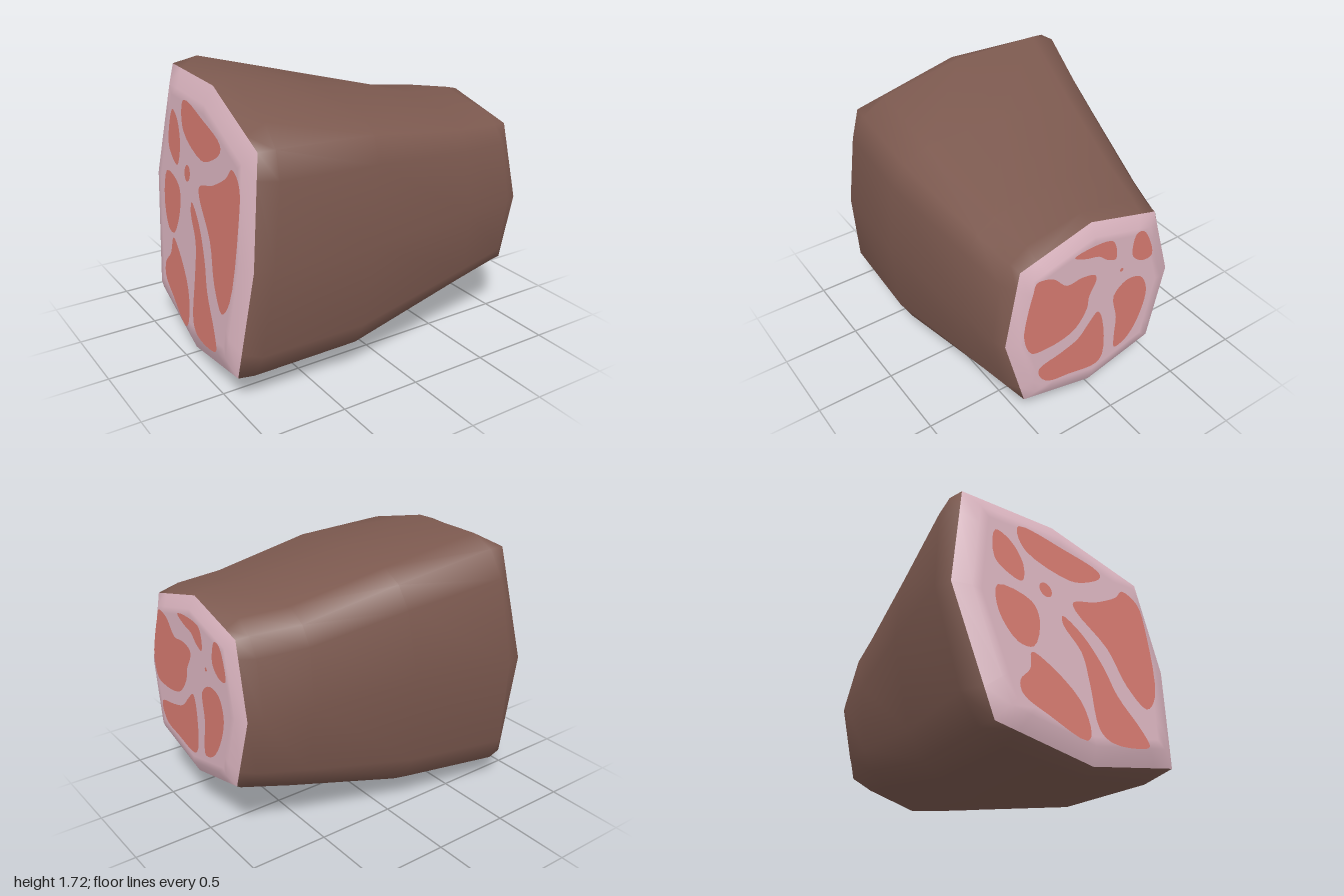
import * as THREE from 'three';

const rindBrown = new THREE.MeshStandardMaterial({ color: 0x7c594f });
const fatPink = new THREE.MeshStandardMaterial({ color: 0xd9b3be });
const meatRed = new THREE.MeshStandardMaterial({ color: 0xd4796f });

// A section lies in the plane x = a + b*y + c*z. Its points are [y, z] in the order
// top, top front, front, bottom front, bottom, bottom back, back, top back.
const section = (plane, bump, pts) => ({ plane, bump, pts });
const planeX = ([a, b, c], y, z) => a + b * y + c * z;

const leftRim = section([-0.947, 0.124, -0.08], 0,
  [[1.67, 0], [1.47, 0.65], [0.84, 0.73], [0.18, 0.65], [0.06, 0.03], [0.18, -0.6], [0.97, -0.8], [1.66, -0.67]]);
const rightRim = section([0.974, -0.044, 0], 0,
  [[1.46, 0.17], [1.34, 0.63], [0.89, 0.74], [0.43, 0.63], [0.32, 0.17], [0.43, -0.28], [0.89, -0.4], [1.34, -0.28]]);
const body = [
  leftRim,
  section([-0.845, 0.124, -0.08], 0.05,
    [[1.71, 0], [1.47, 0.66], [0.84, 0.78], [0.17, 0.66], [0.005, 0.03], [0.17, -0.62], [0.97, -0.83], [1.665, -0.68]]),
  section([-0.187, 0.08, -0.08], 0.05,
    [[1.59, 0.07], [1.46, 0.71], [0.84, 0.82], [0.2, 0.7], [0.045, 0.05], [0.2, -0.5], [0.95, -0.67], [1.52, -0.52]]),
  section([0.58, -0.025, 0], 0.045,
    [[1.485, 0.15], [1.36, 0.65], [0.86, 0.77], [0.36, 0.65], [0.22, 0.13], [0.36, -0.38], [0.9, -0.5], [1.37, -0.38]]),
  section([0.895, -0.044, 0], 0.04,
    [[1.48, 0.17], [1.345, 0.635], [0.89, 0.77], [0.42, 0.635], [0.275, 0.16], [0.42, -0.29], [0.89, -0.44], [1.345, -0.29]]),
  rightRim,
];

// Shrinks a section about a centre and puts it in another plane
function inset(s, plane, k, [cy, cz]) {
  return section(plane, 0, s.pts.map(([y, z]) => [cy + (y - cy) * k, cz + (z - cz) * k]));
}

// Sixteen points: each corner gets a rounded shoulder on both sides
function ringPoints({ plane, bump, pts }) {
  const out = [[1, 0], [0, 1], [-1, 0], [0, -1]];
  const ring = [];
  const shoulder = (corner, side) => {
    const m = pts[side * 2], c = pts[corner], d = out[side];
    return [0, 1].map(i => c[i] + (m[i] - c[i]) * 0.23 + d[i] * bump);
  };
  for (let s = 0; s < 4; s++) {
    const corner = s * 2 + 1;
    ring.push(pts[s * 2], shoulder(corner, s), pts[corner], shoulder(corner, (s + 1) % 4));
  }
  return ring.map(([y, z]) => [planeX(plane, y, z), y, z]);
}

// Skin through sections ordered from -x to +x
function loft(sections, material, name) {
  const pos = sections.flatMap(s => ringPoints(s).flat());
  const index = [];
  for (let i = 0; i < sections.length - 1; i++) {
    for (let j = 0; j < 16; j++) {
      const a = i * 16 + j, b = i * 16 + (j + 1) % 16;
      index.push(a, b, b + 16, a, b + 16, a + 16);
    }
  }
  const geo = new THREE.BufferGeometry();
  geo.setAttribute('position', new THREE.Float32BufferAttribute(pos, 3));
  geo.setIndex(index);
  geo.computeVertexNormals();
  const mesh = new THREE.Mesh(geo, material);
  mesh.name = name;
  return mesh;
}

// Thin rounded patch on a cut face; outline is [z, y], side is +1 or -1 along x
function patch(outline, plane, side, name) {
  const curve = new THREE.CatmullRomCurve3(
    outline.map(([z, y]) => new THREE.Vector3(-side * z, y, 0)), true, 'centripetal');
  const pts = curve.getPoints(outline.length * 4).slice(0, -1);
  const geo = new THREE.ShapeGeometry(new THREE.Shape(pts.map(p => new THREE.Vector2(p.x, p.y))));
  const p = geo.attributes.position;
  for (let i = 0; i < p.count; i++) {
    const z = -side * p.getX(i), y = p.getY(i);
    p.setXYZ(i, planeX(plane, y, z) + side * 0.005, y, z);
  }
  geo.computeVertexNormals();
  const mesh = new THREE.Mesh(geo, meatRed);
  mesh.name = name;
  return mesh;
}

const dot = (z, y, rz, ry) => Array.from({ length: 8 }, (_, i) =>
  [z + rz * Math.cos(i * Math.PI / 4), y + ry * Math.sin(i * Math.PI / 4)]);

const rightPatches = [
  [[0.557, 1.265], [0.49, 1.26], [0.44, 1.235], [0.36, 1.155], [0.26, 1.16], [0.17, 1.137], [0.16, 1.1], [0.21, 1],
    [0.22, 0.93], [0.295, 0.826], [0.38, 0.79], [0.51, 0.78], [0.6, 0.8], [0.645, 0.93], [0.617, 1.09], [0.58, 1.205]],
  [[0.31, 1.315], [0.26, 1.33], [0.065, 1.32], [0.03, 1.275], [0.025, 1.18], [0.085, 1.2], [0.145, 1.25], [0.235, 1.275]],
  [[-0.12, 1.285], [-0.163, 1.285], [-0.205, 1.23], [-0.24, 1.087], [-0.175, 1.078], [-0.1, 1.137], [-0.095, 1.215]],
  [[0.03, 0.92], [-0.06, 0.99], [-0.163, 0.968], [-0.213, 0.863], [-0.2, 0.75], [-0.13, 0.6], [-0.06, 0.533],
    [0.01, 0.52], [0.016, 0.61], [0.007, 0.75]],
  [[0.145, 0.863], [0.11, 0.794], [0.1, 0.52], [0.145, 0.47], [0.35, 0.5], [0.49, 0.53], [0.55, 0.6], [0.55, 0.657],
    [0.4, 0.694], [0.28, 0.735], [0.2, 0.817]],
  dot(-0.02, 1.082, 0.012, 0.012),
];

const leftPatches = [
  [[-0.32, 1.52], [0.01, 1.48], [0.28, 1.41], [0.285, 1.37], [0.165, 1.29], [0.02, 1.25], [-0.285, 1.34], [-0.34, 1.45]],
  [[0.46, 1.33], [0.57, 1.27], [0.6, 1.05], [0.565, 0.61], [0.47, 0.5], [0.34, 0.62], [0.235, 0.84], [0.03, 1.035],
    [0.02, 1.09], [0.21, 1.16], [0.39, 1.26]],
  [[-0.5, 1.42], [-0.4, 1.38], [-0.325, 1.24], [-0.35, 1.11], [-0.46, 1.14], [-0.53, 1.21]],
  [[-0.53, 1.02], [-0.3, 0.99], [-0.257, 0.88], [-0.327, 0.68], [-0.434, 0.68], [-0.542, 0.84]],
  [[-0.346, 0.64], [-0.256, 0.61], [-0.04, 0.42], [0, 0.23], [-0.04, 0.18], [-0.28, 0.27], [-0.44, 0.355],
    [-0.45, 0.435], [-0.37, 0.53]],
  [[-0.08, 0.965], [0.05, 0.88], [0.177, 0.7], [0.25, 0.53], [0.395, 0.347], [0.438, 0.26], [0.406, 0.235],
    [0.15, 0.21], [0.07, 0.27], [0.05, 0.545], [0.025, 0.75], [-0.083, 0.9]],
  dot(-0.18, 1.11, 0.045, 0.05),
];

export function createModel() {
  const model = new THREE.Group();
  model.name = 'meatCut';
  model.add(loft(body, rindBrown, 'rind'));

  // Cut faces: a soft bevel, then a flat centre
  const cutFace = (rim, plane, centre, side, patches, label) => {
    const face = new THREE.Group();
    face.name = label + 'Cut';
    const rings = [rim, inset(rim, plane, 0.87, centre), inset(rim, plane, 0.8, centre), inset(rim, plane, 0, centre)];
    if (side < 0) rings.reverse();
    face.add(loft(rings, fatPink, label + 'Fat'));
    patches.forEach((o, i) => face.add(patch(o, plane, side, label + 'MeatPatch' + (i + 1))));
    model.add(face);
  };
  cutFace(rightRim, [1.012, -0.044, 0], [0.89, 0.17], 1, rightPatches, 'small');
  cutFace(leftRim, [-0.995, 0.124, -0.08], [0.87, 0], -1, leftPatches, 'large');
  return model;
}
